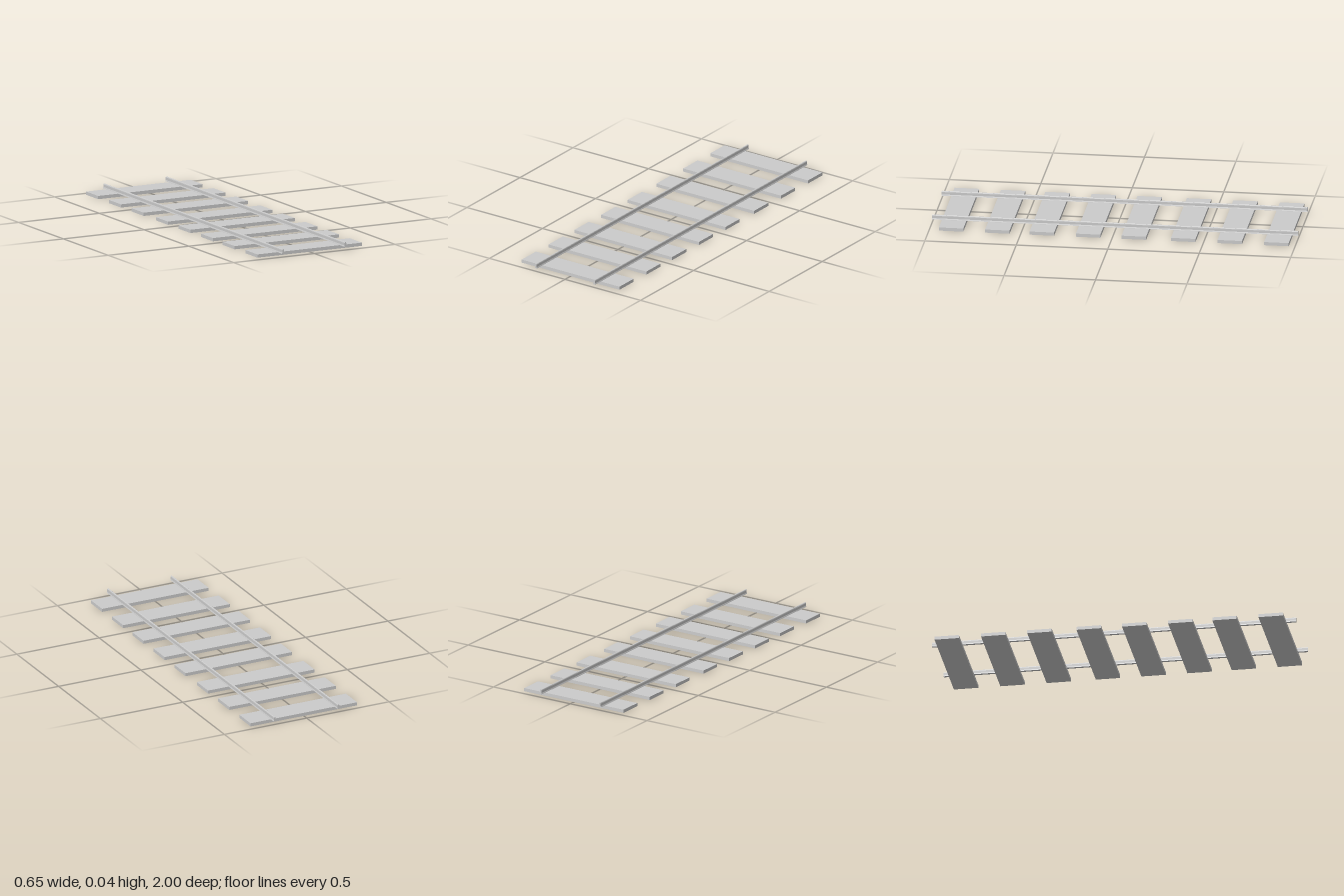
import * as THREE from 'three';

export function createModel() {
  const track = new THREE.Group();
  track.name = 'railwayTrack';
  const material = new THREE.MeshStandardMaterial({ color: 0xcccccc, flatShading: true });

  // Sleepers: flat planks laid across the track, slightly unevenly spaced
  const sleeperGeometry = new THREE.BoxGeometry(0.647, 0.018, 0.134);
  const sleeperZ = [-0.898, -0.643, -0.389, -0.119, 0.131, 0.384, 0.627, 0.88];
  sleeperZ.forEach((z, i) => {
    const sleeper = new THREE.Mesh(sleeperGeometry, material);
    sleeper.name = `sleeper${i + 1}`;
    sleeper.position.set(0, 0.009, z);
    track.add(sleeper);
  });

  // Rail section: half profile (half width, height), mirrored to a flared foot and rounded head
  const half = [
    [0.0071, 0.018], [0.0068, 0.0195], [0.0048, 0.025],
    [0.0048, 0.038], [0.0038, 0.0418], [0.0018, 0.0436],
  ];
  const outline = [
    ...half.map(([x, y]) => new THREE.Vector2(x, y)),
    ...half.map(([x, y]) => new THREE.Vector2(-x, y)).reverse(),
  ];
  const railGeometry = new THREE.ExtrudeGeometry(new THREE.Shape(outline), {
    depth: 2, bevelEnabled: false,
  });
  railGeometry.translate(0, 0, -1);

  // Left and right rails
  for (const [name, x] of [['leftRail', 0.193], ['rightRail', -0.193]]) {
    const rail = new THREE.Mesh(railGeometry, material);
    rail.name = name;
    rail.position.x = x;
    track.add(rail);
  }

  return track;
}
